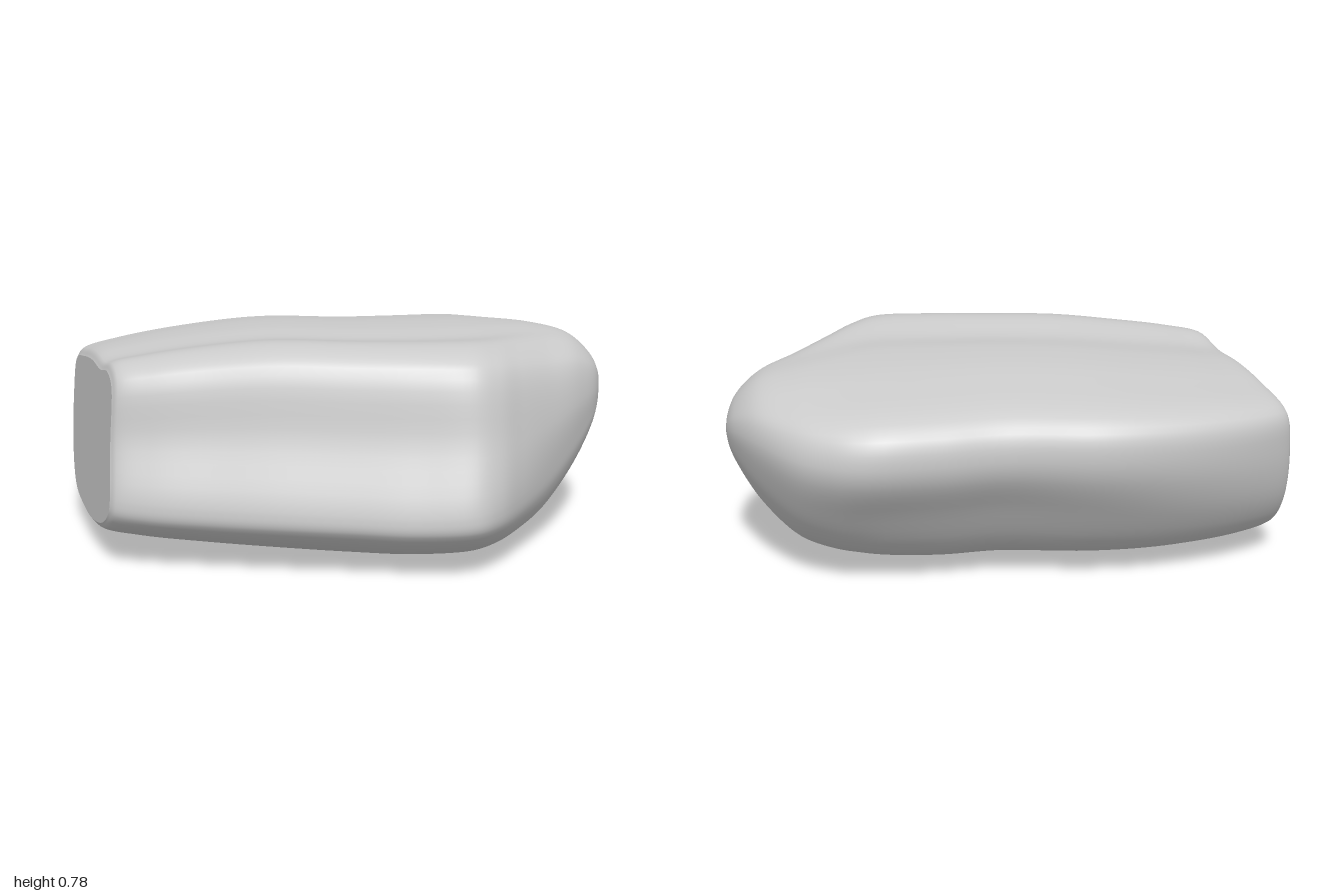
import * as THREE from 'three';

// Rock cross-sections as [z, y], running top -> front -> bottom -> back
const CUT = [[.27, .7], [.36, .66], [.40, .46], [.457, .27], [.45, .205], [.36, .135], [.17, .085], [0, .08],
  [-.2, .115], [-.31, .25], [-.365, .47], [-.355, .6], [-.18, .655], [-.02, .677], [.13, .677]];
const BODY = [[.36, .78], [.49, .725], [.56, .47], [.645, .235], [.64, .165], [.48, .052], [.22, 0], [-.1, .005],
  [-.36, .1], [-.54, .33], [-.65, .52], [-.62, .66], [-.3, .745], [-.02, .764], [.15, .756]];
const END = [[.72, .97], [.9, .87], [1, .6], [.99, .35], [.96, .22], [.86, .08], [.66, 0], [.45, .03],
  [.25, .18], [.1, .4], [0, .68], [.05, .85], [.22, .95], [.42, 1], [.58, 1]];

// Stations along the rock: x, profile blend (1 cut, 0 body, -1 end), back z, front z, bottom y, top y
const STATIONS = [
  [-.905, 1, -.35, .445, .1, .675],
  [-.885, .97, -.385, .465, .08, .703],
  [-.75, .8, -.48, .5, .055, .73],
  [-.5, .5, -.59, .535, .03, .76],
  [-.25, .2, -.64, .57, .015, .78],
  [.04, 0, -.607, .605, .005, .78],
  [.25, 0, -.63, .635, 0, .78],
  [.45, -.1, -.65, .646, .01, .78],
  [.54, -.3, -.642, .595, .02, .773],
  [.63, -.55, -.612, .49, .037, .763],
  [.75, -.85, -.54, .335, .09, .745],
  [.88, -1, -.4, .165, .23, .71],
  [.96, -1, -.27, .04, .37, .64],
  [.99, -1, -.19, -.05, .45, .58],
  [1, -1, -.13, -.13, .52, .52],
];
const AROUND = 90, ALONG = 112;

// Smooth closed outline, scaled to the unit square
function unitProfile(points) {
  const curve = new THREE.CatmullRomCurve3(points.map(([z, y]) => new THREE.Vector3(0, y, z)), true);
  const ring = Array.from({ length: AROUND }, (_, j) => curve.getPoint(j / AROUND));
  const box = new THREE.Box3().setFromPoints(ring);
  const size = box.getSize(new THREE.Vector3());
  return ring.map(p => [(p.z - box.min.z) / size.z, (p.y - box.min.y) / size.y]);
}

function makeGeometry(positions, index) {
  const geometry = new THREE.BufferGeometry();
  geometry.setAttribute('position', new THREE.Float32BufferAttribute(positions, 3));
  geometry.setIndex(index);
  geometry.computeVertexNormals();
  return geometry;
}

export function createModel() {
  const group = new THREE.Group();
  group.name = 'rock';
  const material = new THREE.MeshStandardMaterial({ color: 0xcccccc });
  const [cut, body, end] = [CUT, BODY, END].map(unitProfile);
  const { lerp } = THREE.MathUtils;

  // One lengthwise curve per outline point; sections slant towards the cut end
  const lines = body.map((b, j) => new THREE.CatmullRomCurve3(
    STATIONS.map(([x, blend, back, front, bottom, top]) => {
      const other = blend > 0 ? cut[j] : end[j];
      const z = lerp(back, front, lerp(b[0], other[0], Math.abs(blend)));
      const y = lerp(bottom, top, lerp(b[1], other[1], Math.abs(blend)));
      return new THREE.Vector3(x + Math.max(blend, 0) * (0.27 * z + 0.1 * (y - 0.4)), y, z);
    })));

  // Rounded body
  const positions = [], index = [];
  for (let i = 0; i <= ALONG; i++) {
    for (const line of lines) positions.push(...line.getPoint(i / ALONG).toArray());
  }
  for (let i = 0; i < ALONG; i++) {
    for (let j = 0; j < AROUND; j++) {
      const a = i * AROUND + j, b = i * AROUND + (j + 1) % AROUND;
      index.push(a, b, a + AROUND);
      if (i < ALONG - 1) index.push(b, b + AROUND, a + AROUND);
    }
  }
  const stone = new THREE.Mesh(makeGeometry(positions, index), material);
  stone.name = 'stoneBody';
  group.add(stone);

  // Flat broken face closing the cut end
  const ring = lines.map(line => line.getPoint(0));
  const centre = ring.reduce((sum, p) => sum.add(p), new THREE.Vector3()).divideScalar(AROUND);
  const capIndex = ring.flatMap((_, j) => [AROUND, (j + 1) % AROUND, j]);
  const cap = new THREE.Mesh(makeGeometry([...ring, centre].flatMap(p => p.toArray()), capIndex), material);
  cap.name = 'brokenFace';
  group.add(cap);

  return group;
}
